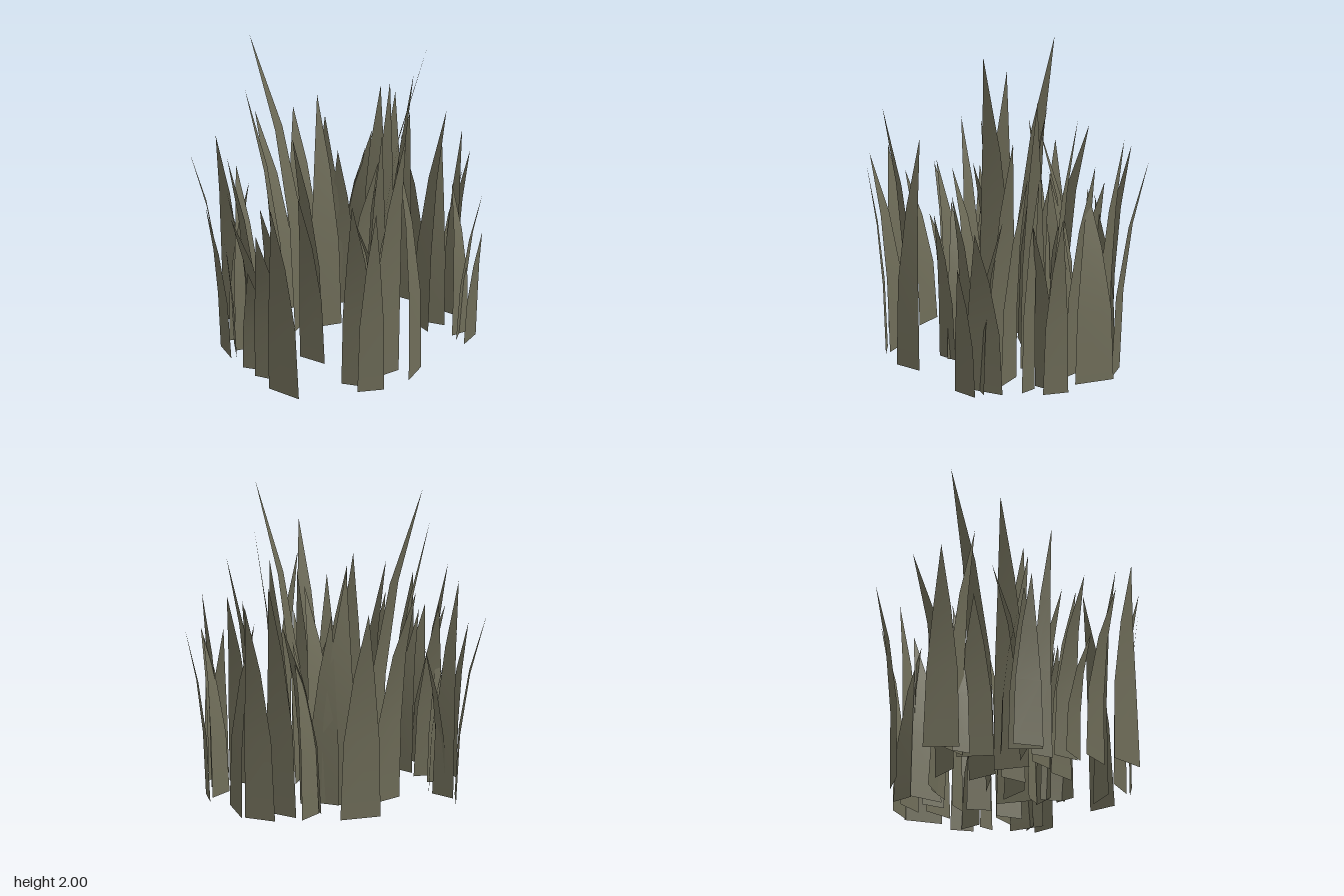
import * as THREE from 'three';

// Blade cross-sections: height fraction, width fraction, lean fraction
const ROWS = [[0, 1, 0], [0.38, 0.88, 0.1], [0.7, 0.5, 0.43], [1, 0, 1]];

// One thin blade: base centre (x, z), tip (tx, tz), height and base width.
// The base edge lies square to the direction of lean.
function bladeGeometry(x, z, tx, tz, height, width) {
  const dx = tx - x, dz = tz - z, len = Math.hypot(dx, dz);
  const sx = -dz / len * width / 2, sz = dx / len * width / 2;
  const pos = [], index = [];
  ROWS.forEach(([t, w, lean], i) => {
    const cx = x + dx * lean, cz = z + dz * lean;
    for (const s of w > 0 ? [-1, 1] : [0]) pos.push(cx + s * sx * w, t * height, cz + s * sz * w);
    if (i === 0) return;
    const a = 2 * (i - 1), b = a + 1, c = a + 2, d = a + 3;
    index.push(a, c, b);
    if (w > 0) index.push(b, c, d);
  });
  const g = new THREE.BufferGeometry();
  g.setAttribute('position', new THREE.Float32BufferAttribute(pos, 3));
  g.setIndex(index);
  g.computeVertexNormals();
  return g;
}

// Clumps of blades: base x, base z, tip x, tip z, height, width
const CLUMPS = {
  backRightClump: [
    [-0.22, -0.785, -0.32, -0.94, 1.38, 0.2],
    [-0.01, -0.825, -0.05, -0.69, 1.2, 0.26],
    [-0.24, -0.635, -0.29, -0.75, 1.48, 0.21],
    [-0.375, -0.51, -0.24, -0.54, 1.1, 0.16],
    [-0.255, -0.42, -0.25, -0.62, 1.2, 0.23],
    [-0.015, -0.64, -0.04, -0.77, 1.35, 0.22],
    [-0.14, -0.51, -0.13, -0.63, 1.1, 0.16],
    [0.01, -0.455, -0.06, -0.58, 1.6, 0.16],
  ],
  backLeftClump: [
    [0.14, -0.4, 0.2, -0.51, 1.73, 0.16],
    [0.305, -0.83, 0.35, -0.94, 1.12, 0.16],
    [0.305, -0.73, 0.43, -0.76, 1.05, 0.16],
    [0.41, -0.695, 0.4, -0.78, 1.33, 0.11],
    [0.39, -0.41, 0.43, -0.57, 1.52, 0.18],
    [0.41, -0.5, 0.36, -0.62, 1.3, 0.19],
    [0.645, -0.52, 0.5, -0.56, 1.05, 0.13],
    [0.63, -0.54, 0.73, -0.59, 1.02, 0.25],
    [0.745, -0.5, 0.8, -0.51, 0.8, 0.17],
  ],
  middleRightClump: [
    [-0.585, -0.28, -0.73, -0.34, 1.33, 0.26],
    [-0.435, 0.055, -0.7, 0.05, 1.41, 0.21],
    [-0.085, 0.015, -0.24, -0.07, 1.6, 0.22],
    [-0.24, -0.305, -0.16, -0.18, 1.2, 0.21],
    [-0.315, -0.245, -0.17, -0.07, 1.47, 0.23],
    [-0.21, 0.125, -0.54, 0.23, 2.0, 0.2],
    [-0.03, 0.2, -0.03, 0.37, 1.47, 0.18],
    [-0.16, 0.355, -0.33, 0.48, 1.75, 0.22],
  ],
  middleLeftClump: [
    [0.145, -0.03, 0.33, -0.03, 1.3, 0.22],
    [0.23, -0.145, 0.46, -0.32, 2.0, 0.23],
    [0.31, -0.05, 0.26, -0.14, 1.43, 0.13],
    [0.37, -0.02, 0.48, -0.01, 1.1, 0.18],
    [0.405, 0.03, 0.33, 0.21, 1.0, 0.16],
    [0.465, 0.08, 0.57, 0.06, 0.98, 0.14],
    [0.765, 0.09, 0.62, 0.13, 1.47, 0.19],
    [0.635, 0.23, 0.8, 0.27, 1.66, 0.21],
    [0.605, 0.45, 0.69, 0.61, 1.3, 0.22],
    [0.7, 0.44, 0.78, 0.5, 1.24, 0.17],
  ],
  frontRightClump: [
    [-0.24, 0.58, -0.41, 0.5, 1.23, 0.2],
    [-0.29, 0.665, -0.34, 0.73, 1.0, 0.2],
    [-0.375, 0.545, -0.29, 0.6, 0.9, 0.14],
    [-0.455, 0.4, -0.53, 0.48, 1.0, 0.22],
    [-0.6, 0.39, -0.56, 0.53, 1.4, 0.16],
    [-0.56, 0.41, -0.54, 0.27, 1.0, 0.11],
    [-0.7, 0.41, -0.81, 0.54, 1.22, 0.21],
    [-0.315, 0.725, -0.35, 0.82, 1.05, 0.18],
    [-0.145, 0.63, -0.17, 0.79, 1.42, 0.14],
  ],
  frontLeftClump: [
    [0.17, 0.415, 0.2, 0.56, 1.2, 0.19],
    [-0.055, 0.505, -0.01, 0.68, 1.1, 0.17],
    [-0.015, 0.69, -0.02, 0.91, 1.1, 0.17],
    [0.0, 0.74, 0.06, 0.86, 0.75, 0.2],
    [0.145, 0.765, 0.21, 0.93, 1.07, 0.22],
    [0.33, 0.835, 0.345, 0.93, 1.27, 0.23],
  ],
};

export function createModel() {
  const model = new THREE.Group();
  model.name = 'grassTuft';
  const grass = new THREE.MeshStandardMaterial({ color: 0x6e6c58, side: THREE.DoubleSide });
  grass.name = 'dryOliveGrass';

  for (const [name, blades] of Object.entries(CLUMPS)) {
    const clump = new THREE.Group();
    clump.name = name;
    for (const blade of blades) {
      const mesh = new THREE.Mesh(bladeGeometry(...blade), grass);
      mesh.name = 'grassBlade';
      clump.add(mesh);
    }
    model.add(clump);
  }
  return model;
}
